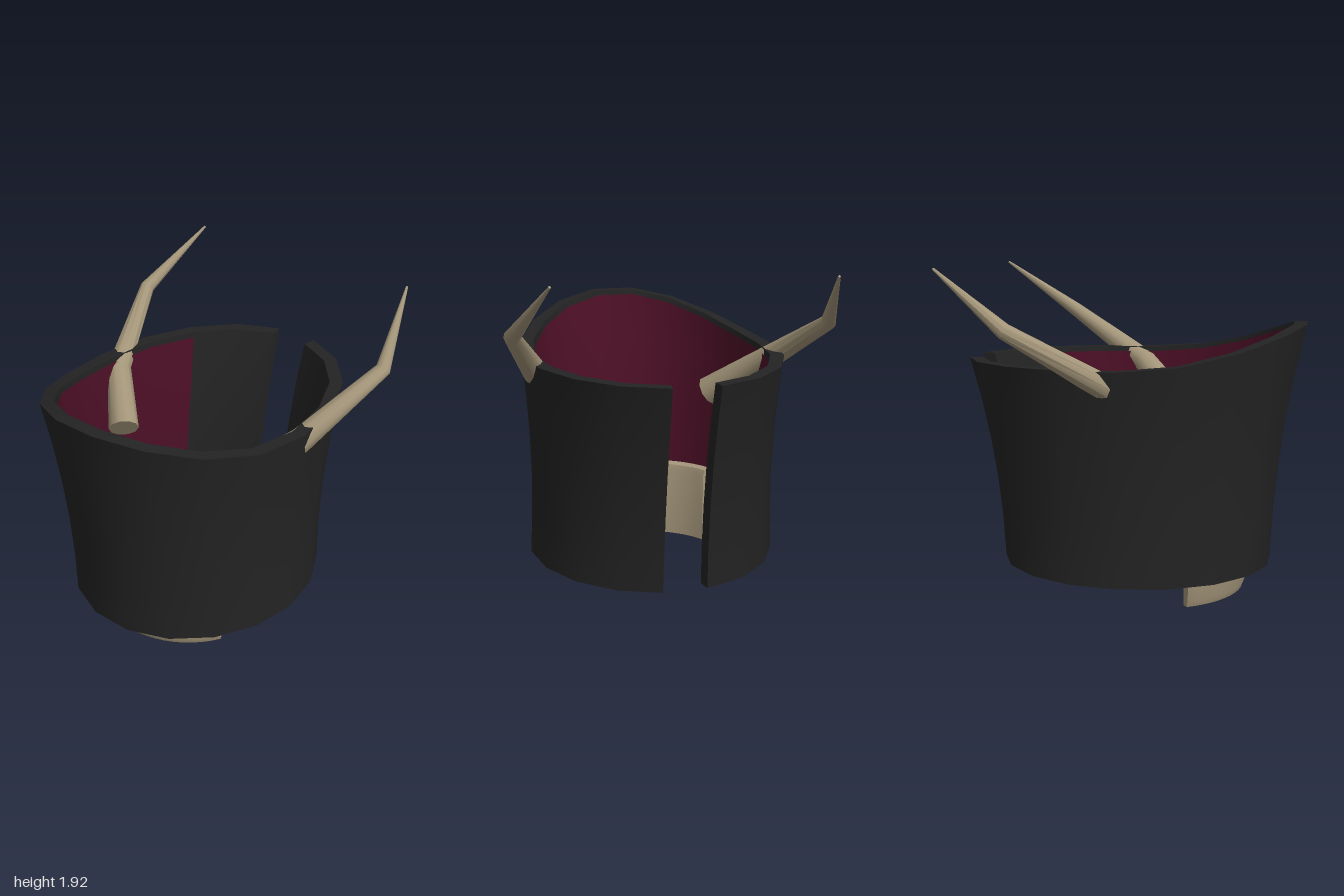
import * as THREE from 'three';
import { toCreasedNormals } from 'three/addons/utils/BufferGeometryUtils.js';

const rad = THREE.MathUtils.degToRad;

// Skin a list of cross-sections; closed sections also get end caps.
function loft(rings, closed = true, crease = 0.7) {
  const n = rings[0].length, pos = [];
  const quad = (a, b, c, d) => [a, b, c, a, c, d].forEach(p => pos.push(p.x, p.y, p.z));
  for (let r = 0; r < rings.length - 1; r++) {
    for (let i = 0; i < (closed ? n : n - 1); i++) {
      const j = (i + 1) % n;
      quad(rings[r][i], rings[r + 1][i], rings[r + 1][j], rings[r][j]);
    }
  }
  if (closed) {
    const s = rings[0], e = rings[rings.length - 1];
    for (let i = 0; i < n / 2 - 1; i++) {
      quad(s[i], s[i + 1], s[n - 2 - i], s[n - 1 - i]);
      quad(e[n - 1 - i], e[n - 2 - i], e[i + 1], e[i]);
    }
  }
  const g = new THREE.BufferGeometry();
  g.setAttribute('position', new THREE.Float32BufferAttribute(pos, 3));
  return toCreasedNormals(g, crease);
}

// Point on the flared oval wall: angle from the front, height fraction, inward offset.
const BASE = 0.165;
function wallPoint(deg, f, inset, drop = 0) {
  const t = rad(deg), c = Math.cos(t);
  const top = 1.372 + 0.225 * Math.max(0, c) ** 2 - drop;
  const y = BASE + (top - BASE) * f;
  const s = Math.min(1, (y - BASE) / (top + drop - BASE));
  const rx = 0.737 - 0.0825 * s + 0.11 * s * s - inset;
  const rz = 0.81 + 0.047 * s + 0.156 * s * s - inset;
  return new THREE.Vector3(rx * Math.sin(t), y, rz * c);
}

// Tapered horn through the given [x, y, z, radius] points.
function hornGeometry(path, sides = 10) {
  const pts = path.map(p => new THREE.Vector3(p[0], p[1], p[2]));
  const rings = pts.map((p, i) => {
    const t = new THREE.Vector3();
    if (i > 0) t.add(p.clone().sub(pts[i - 1]).normalize());
    if (i < pts.length - 1) t.add(pts[i + 1].clone().sub(p).normalize());
    t.normalize();
    const u = new THREE.Vector3(0, 1, 0).cross(t).normalize();
    const v = u.clone().cross(t);
    return Array.from({ length: sides }, (_, k) => {
      const a = k / sides * Math.PI * 2;
      return p.clone().addScaledVector(u, Math.cos(a) * path[i][3])
        .addScaledVector(v, Math.sin(a) * path[i][3]);
    });
  });
  return loft(rings, true, 0.75);
}

export function createModel() {
  const model = new THREE.Group();
  const mat = (name, color, side = THREE.FrontSide) => {
    const m = new THREE.MeshStandardMaterial({ color, side });
    m.name = name;
    return m;
  };
  const black = mat('black', 0x232323);
  const maroon = mat('maroon', 0x4c0f26, THREE.DoubleSide);
  const bone = mat('bone', 0xa39579, THREE.DoubleSide);
  const add = (name, geometry, material, parent = model) => {
    const m = new THREE.Mesh(geometry, material);
    m.name = name;
    parent.add(m);
    return m;
  };

  // Thick outer wall, open at the back
  const steps = [0, 0.2, 0.4, 0.6, 0.8, 1];
  const shell = [];
  for (let d = -170; d <= 170; d += 20) {
    shell.push([
      ...steps.map(f => wallPoint(d, f, 0)),
      ...[...steps].reverse().map(f => wallPoint(d, f, 0.08)),
    ]);
  }
  add('outerWall', loft(shell), black);

  // Lining on the inside, stopping short of the back ends
  const lining = [];
  for (let d = -130; d <= 130; d += 20) {
    lining.push(steps.map(f => wallPoint(d, 0.01 + f * 0.99, 0.087, 0.03)));
  }
  add('lining', loft(lining, false), maroon);

  // Horns piercing the side walls and sweeping back
  const path = [
    [0.43, 1.05, 0.18, 0.092],
    [0.69, 1.28, -0.07, 0.075],
    [0.89, 1.595, -0.57, 0.045],
    [0.755, 1.915, -0.995, 0.007],
  ];
  for (const s of [1, -1]) {
    const p = path.map(q => [q[0] * s, q[1], q[2], q[3]]);
    add(s > 0 ? 'leftHorn' : 'rightHorn', hornGeometry(p), bone);
  }

  // Curved chin guard
  const chin = new THREE.Group();
  chin.name = 'chinGuard';
  chin.position.z = 0.08;
  model.add(chin);
  const profile = [[0.56, 0], [0.575, 0.04], [0.595, 0.44], [0.585, 0.475], [0.56, 0.49],
    [0.53, 0.475], [0.52, 0.44], [0.515, 0]].map(p => new THREE.Vector2(...p));
  const band = new THREE.LatheGeometry([...profile, profile[0]], 20, rad(-60), rad(120));
  add('chinBand', toCreasedNormals(band, 0.7), bone, chin);
  for (const a of [-60, 60]) {
    const end = add('chinBandEnd', new THREE.ShapeGeometry(new THREE.Shape(profile)), bone, chin);
    end.rotation.y = rad(a - 90);
  }

  // Knobs on the top edge of the chin guard
  for (const a of [-19, 19]) {
    const knob = add('chinKnob', new THREE.SphereGeometry(1, 14, 10), bone, chin);
    knob.scale.set(0.06, 0.045, 0.036);
    knob.position.set(0.58 * Math.sin(rad(a)), 0.49, 0.58 * Math.cos(rad(a)));
  }

  // Dark vent bars on its outer face
  for (const a of [-32, 0, 32]) {
    const bar = add('chinVent', new THREE.BoxGeometry(0.035, 0.14, 0.05), black, chin);
    bar.position.set(0.59 * Math.sin(rad(a)), 0.33, 0.59 * Math.cos(rad(a)));
    bar.rotation.y = rad(a);
  }
  return model;
}
